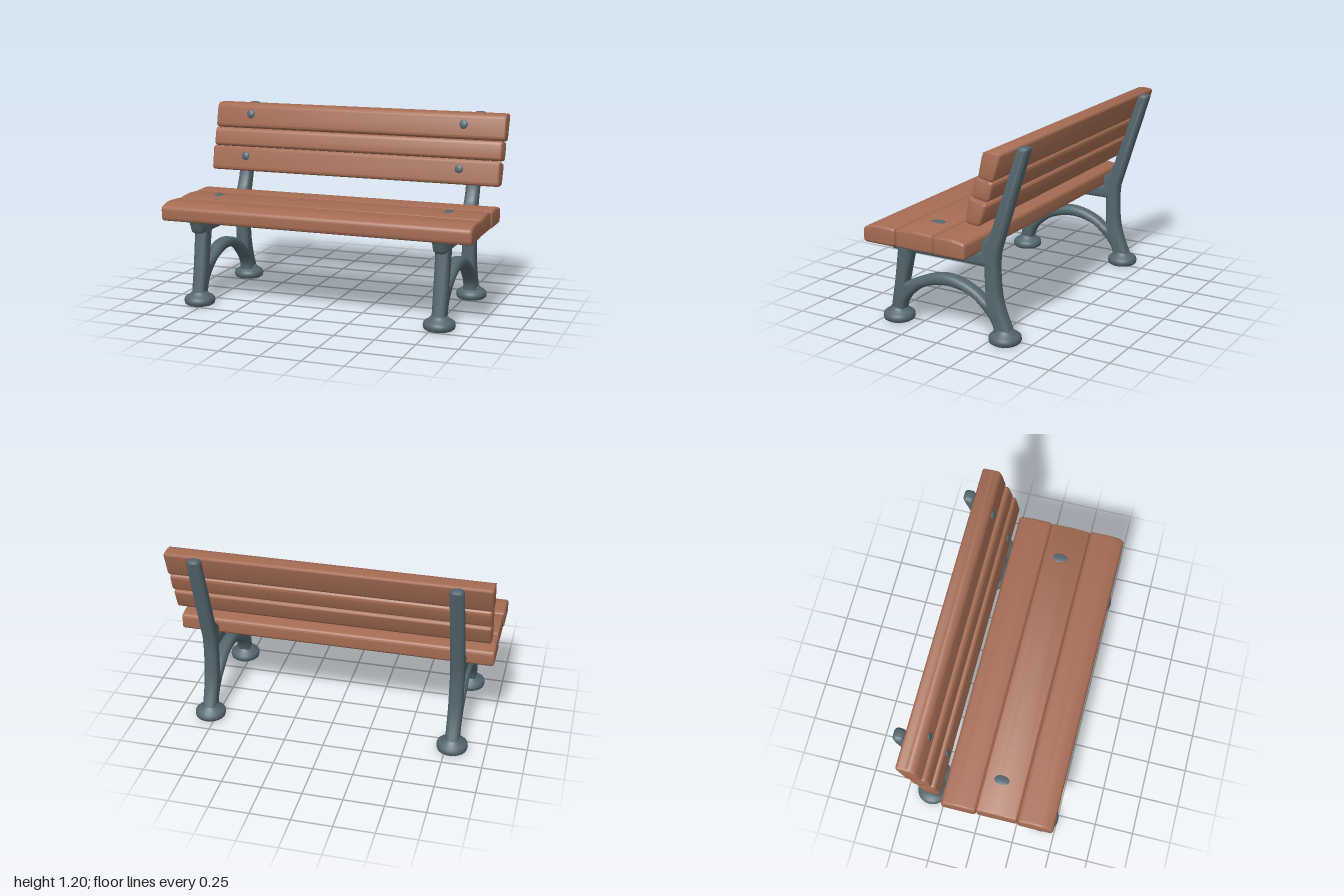
import * as THREE from 'three';
import { toCreasedNormals } from 'three/addons/utils/BufferGeometryUtils.js';

const wood = new THREE.MeshStandardMaterial({ color: 0xa56c53 });
wood.name = 'brown wood';
const iron = new THREE.MeshStandardMaterial({ color: 0x53666f });
iron.name = 'grey iron';

const points = (list) => list.map(([z, y]) => new THREE.Vector2(z, y));

// Extrude a (z, y) side profile along x, centred, with rounded edges
function extrudeSide(shape, width, bevel, bevelSegments) {
  const depth = width - 2 * bevel;
  const geo = new THREE.ExtrudeGeometry(shape, {
    depth, curveSegments: 6, bevelThickness: bevel, bevelSize: bevel, bevelOffset: -bevel, bevelSegments,
  });
  geo.translate(0, 0, -depth / 2).rotateY(-Math.PI / 2);
  return toCreasedNormals(geo, 0.8);
}

// Polygon with softened corners
function roundedPolygon(list, radius) {
  const p = points(list);
  const shape = new THREE.Shape();
  p.forEach((corner, i) => {
    const toward = (q) => q.clone().sub(corner).setLength(radius).add(corner);
    const a = toward(p[(i + p.length - 1) % p.length]);
    const b = toward(p[(i + 1) % p.length]);
    if (i) shape.lineTo(a.x, a.y);
    else shape.moveTo(a.x, a.y);
    shape.quadraticCurveTo(corner.x, corner.y, b.x, b.y);
  });
  shape.closePath();
  return shape;
}

function add(parent, name, geometry, material) {
  const mesh = new THREE.Mesh(geometry, material);
  mesh.name = name;
  parent.add(mesh);
  return mesh;
}

// Legs, arch, seat rail and back post in one cast outline
function frameShape() {
  const s = new THREE.Shape();
  s.moveTo(0.455, 0.05);
  s.lineTo(0.42, 0.25);
  s.lineTo(0.392, 0.455);
  s.lineTo(0.415, 0.457);
  s.quadraticCurveTo(0.44, 0.46, 0.447, 0.49);
  s.lineTo(0.468, 0.545);
  s.lineTo(-0.195, 0.545);
  s.lineTo(-0.2, 0.61);
  s.splineThru(points([[-0.245, 0.65], [-0.275, 0.71], [-0.29, 0.76]]));
  s.lineTo(-0.435, 1.18);
  s.quadraticCurveTo(-0.445, 1.197, -0.465, 1.197);
  s.lineTo(-0.485, 1.197);
  s.quadraticCurveTo(-0.51, 1.195, -0.503, 1.17);
  s.lineTo(-0.312, 0.55);
  s.splineThru(points([[-0.305, 0.45], [-0.315, 0.3], [-0.342, 0.19], [-0.4, 0.05]]));
  s.lineTo(-0.275, 0.05);
  s.splineThru(points([[-0.265, 0.11], [-0.2, 0.19], [-0.1, 0.26], [0.05, 0.285],
    [0.2, 0.25], [0.3, 0.18], [0.345, 0.12], [0.365, 0.05]]));
  s.closePath();

  const gap = new THREE.Path();
  gap.moveTo(0.288, 0.455);
  gap.lineTo(0.335, 0.26);
  gap.splineThru(points([[0.25, 0.3], [0.15, 0.34], [0.05, 0.355], [-0.05, 0.34], [-0.15, 0.3], [-0.225, 0.245]]));
  gap.lineTo(-0.215, 0.455);
  gap.closePath();
  s.holes.push(gap);
  return s;
}

export function createModel() {
  const bench = new THREE.Group();
  bench.name = 'bench';

  // Side frames with round feet
  const frameGeo = extrudeSide(frameShape(), 0.088, 0.03, 4);
  const footGeo = new THREE.LatheGeometry(points([[0, 0], [0.083, 0], [0.094, 0.008], [0.098, 0.025],
    [0.095, 0.043], [0.083, 0.054], [0.064, 0.064], [0.053, 0.078], [0.046, 0.085], [0, 0.085]]), 32);
  for (const side of [-1, 1]) {
    const frame = new THREE.Group();
    frame.name = side > 0 ? 'leftFrame' : 'rightFrame';
    frame.position.x = side * 0.79;
    bench.add(frame);
    add(frame, 'castFrame', frameGeo, iron);
    add(frame, 'frontFoot', footGeo, iron).position.z = 0.41;
    add(frame, 'rearFoot', footGeo, iron).position.z = -0.34;
  }

  // Planks: name, length, corner radius, (z, y) cross-section
  const planks = [
    ['frontSeatPlank', 2, 0.025, [[0.505, 0.54], [0.505, 0.632], [0.43, 0.655], [0.279, 0.65], [0.279, 0.54]]],
    ['middleSeatPlank', 1.99, 0.018, [[0.279, 0.54], [0.279, 0.648], [0.14, 0.658], [0.02, 0.652], [0.02, 0.54]]],
    ['rearSeatPlank', 2, 0.022, [[0.02, 0.54], [0.02, 0.65], [-0.1, 0.655], [-0.2, 0.638], [-0.2, 0.54]]],
    ['lowerBackPlank', 1.97, 0.026, [[-0.194, 0.762], [-0.223, 0.925], [-0.342, 0.885], [-0.291, 0.752]]],
    ['middleBackPlank', 1.975, 0.03, [[-0.238, 0.92], [-0.268, 1.042], [-0.384, 1.02], [-0.352, 0.9]]],
    ['upperBackPlank', 1.99, 0.026, [[-0.287, 1.04], [-0.318, 1.187], [-0.36, 1.202], [-0.445, 1.195], [-0.385, 1.022]]],
  ];
  for (const [name, length, radius, section] of planks) {
    add(bench, name, extrudeSide(roundedPolygon(section, radius), length, 0.014, 3), wood);
  }

  // Domed bolt heads
  const dome = new THREE.SphereGeometry(1, 20, 12);
  const bolt = (name, x, y, z, size, tilt) => {
    const mesh = add(bench, name, dome, iron);
    mesh.position.set(x, y, z);
    mesh.scale.set(...size);
    mesh.rotation.x = tilt;
  };
  for (const x of [-0.775, 0.76]) bolt('seatBolt', x, 0.651, 0.13, [0.037, 0.011, 0.052], 0);
  for (const x of [-0.745, 0.725]) {
    bolt('upperBackBolt', x, 1.13, -0.306, [0.027, 0.029, 0.012], -0.19);
    bolt('lowerBackBolt', x, 0.86, -0.212, [0.027, 0.027, 0.012], -0.19);
  }
  return bench;
}
